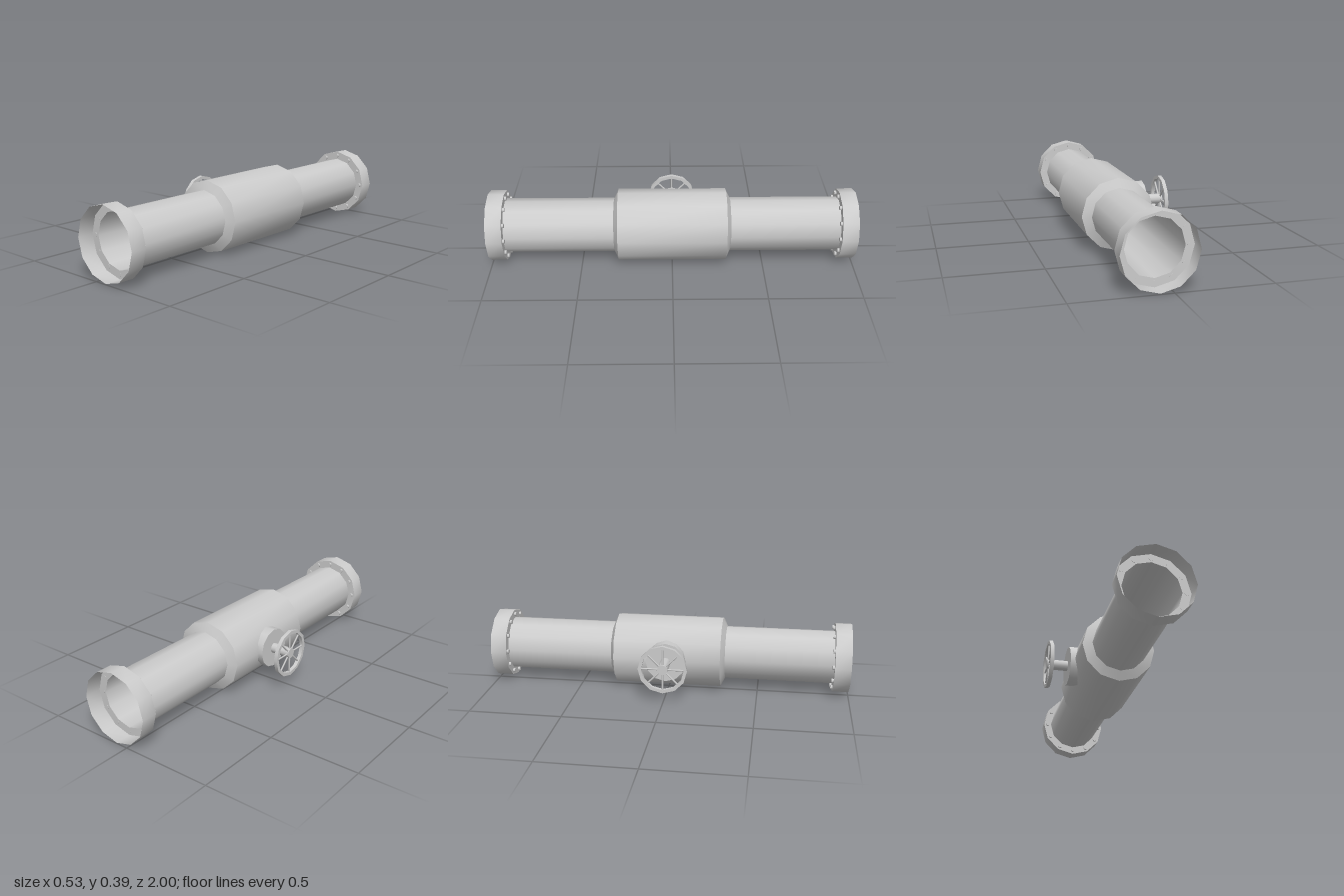
import * as THREE from 'three';
import { toCreasedNormals } from 'three/addons/utils/BufferGeometryUtils.js';

const SIDES = 12;
const AXIS_X = 0.068, AXIS_Y = 0.198;
const material = new THREE.MeshStandardMaterial({ color: 0xcccccc });
const shellMaterial = new THREE.MeshStandardMaterial({ color: 0xcccccc, side: THREE.DoubleSide });

function add(parent, name, geometry, mat = material) {
  const mesh = new THREE.Mesh(geometry, mat);
  mesh.name = name;
  parent.add(mesh);
  return mesh;
}

// Turned shell around the z axis from [radius, z] pairs
function turned(profile) {
  const geo = new THREE.LatheGeometry(profile.map(([r, z]) => new THREE.Vector2(r, z)), SIDES);
  return toCreasedNormals(geo.rotateX(Math.PI / 2), 0.6);
}

// Cylinder along x between two positions
function cylinderX(radius, x0, x1, sides = SIDES) {
  return new THREE.CylinderGeometry(radius, radius, x1 - x0, sides)
    .rotateZ(Math.PI / 2).translate((x0 + x1) / 2, 0, 0);
}

// Hollow end flange with a ring of bolts on its inner face
function createFlange() {
  const flange = new THREE.Group();
  flange.name = 'flange';
  add(flange, 'flangeShell', turned([[0.148, 0.912], [0.193, 0.912], [0.193, 1]]), shellMaterial);
  for (let i = 0; i < 12; i++) {
    const a = (i / 12) * Math.PI * 2;
    const bolt = add(flange, 'bolt', new THREE.CylinderGeometry(0.012, 0.012, 0.013, 8).rotateX(Math.PI / 2));
    bolt.position.set(Math.cos(a) * 0.169, Math.sin(a) * 0.169, 0.907);
  }
  return flange;
}

// Spoked wheel facing -x
function createHandwheel() {
  const wheel = new THREE.Group();
  wheel.name = 'handwheel';
  const rim = new THREE.LatheGeometry(
    [[0.115, -0.01], [0.133, -0.01], [0.133, 0.01], [0.115, 0.01], [0.115, -0.01]]
      .map(([r, y]) => new THREE.Vector2(r, y)), SIDES);
  add(wheel, 'wheelRim', toCreasedNormals(rim.rotateZ(Math.PI / 2), 0.6));
  add(wheel, 'wheelHub', cylinderX(0.028, -0.01, 0.01));
  for (let i = 0; i < 8; i++) {
    const spoke = add(wheel, 'spoke', new THREE.CylinderGeometry(0.005, 0.005, 0.1, 6).translate(0, 0.07, 0));
    spoke.rotation.x = (i / 8) * Math.PI * 2;
  }
  wheel.position.x = -0.258 - AXIS_X;
  return wheel;
}

export function createModel() {
  const model = new THREE.Group();
  model.name = 'pipeValve';
  const assembly = new THREE.Group();
  assembly.name = 'valveAssembly';
  assembly.position.set(AXIS_X, AXIS_Y, 0);
  model.add(assembly);

  // Through pipe and thicker valve body with bevelled ends
  add(assembly, 'pipe', turned([[0.148, -0.912], [0.148, 0.912]]), shellMaterial);
  add(assembly, 'valveBody', turned([[0.148, -0.318], [0.197, -0.295], [0.197, 0.295], [0.148, 0.318]]), shellMaterial);

  // Flanges at both ends
  const front = createFlange();
  const back = createFlange();
  back.rotation.y = Math.PI;
  assembly.add(front, back);

  // Side bonnet, stem and wheel
  add(assembly, 'bonnet', cylinderX(0.109, -0.153 - AXIS_X, -0.085 - AXIS_X));
  add(assembly, 'stem', cylinderX(0.028, -0.25 - AXIS_X, -0.15 - AXIS_X));
  assembly.add(createHandwheel());
  return model;
}
